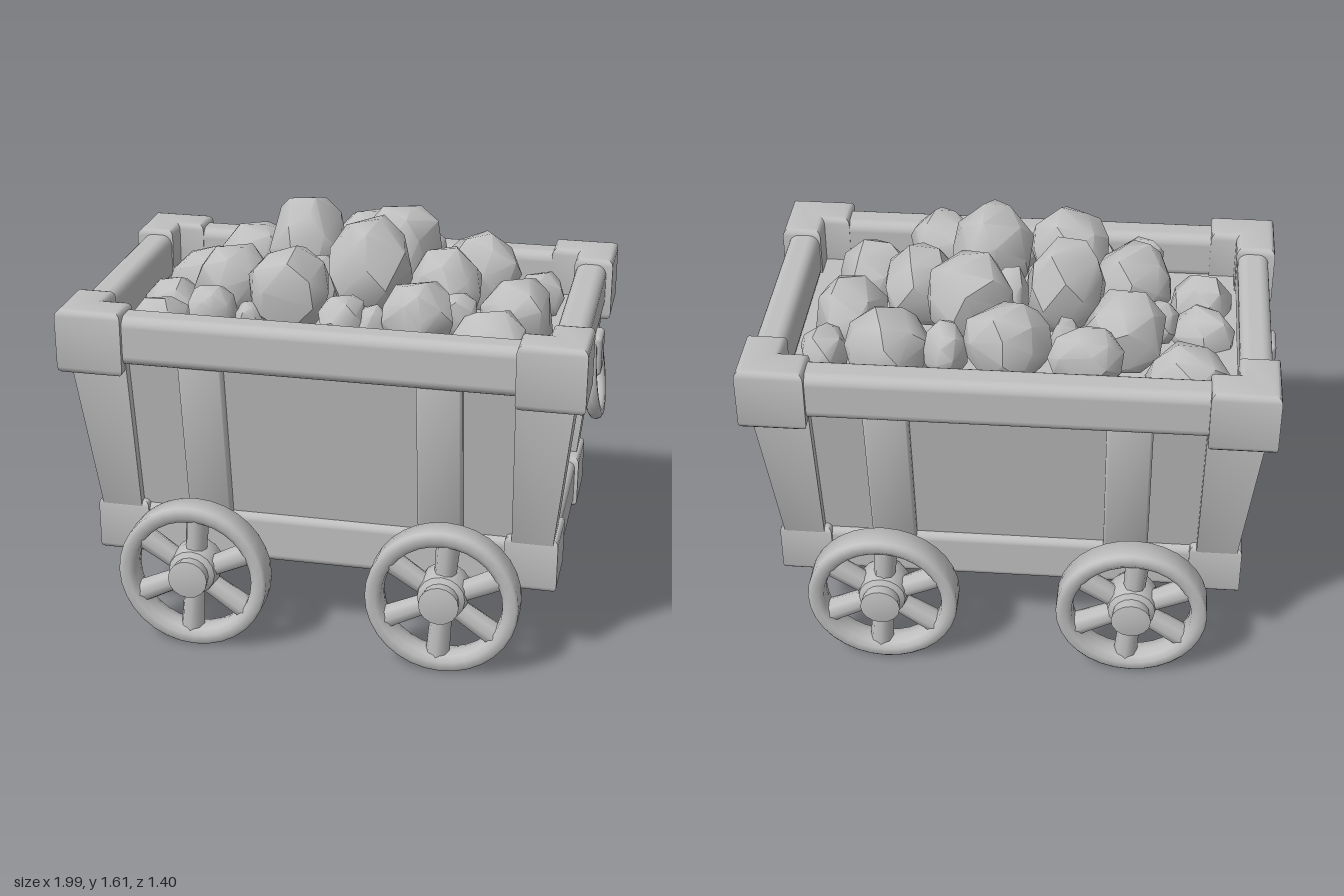
import * as THREE from 'three';
import { toCreasedNormals } from 'three/addons/utils/BufferGeometryUtils.js';
import { RoundedBoxGeometry } from 'three/addons/geometries/RoundedBoxGeometry.js';
import { ConvexGeometry } from 'three/addons/geometries/ConvexGeometry.js';

// small seeded generator
let seed = 7;
const rand = () => {
  seed = (seed * 16807) % 2147483647;
  return seed / 2147483647;
};

// lean the outer faces of a geometry outwards with height, leaving the middle upright
function flare(geo) {
  const p = geo.attributes.position;
  const lean = (v, start, slope, h) => v + Math.sign(v) * slope * h * THREE.MathUtils.clamp((Math.abs(v) - start) / 0.08, 0, 1);
  for (let i = 0; i < p.count; i++) {
    const h = p.getY(i) - 0.5;
    p.setX(i, lean(p.getX(i), 0.71, 0.105, h));
    p.setZ(i, lean(p.getZ(i), 0.31, 0.142, h));
  }
  return geo;
}

// L-shaped bracket around the corner (sx, sz), from y0 to y1
function cornerL(sx, sz, X, Z, armX, armZ, t, y0, y1, b) {
  const x = X - b, z = Z - b;
  const outline = [
    [x, z], [X - armX + b, z], [X - armX + b, Z - t + b],
    [X - t + b, Z - t + b], [X - t + b, Z - armZ + b], [x, Z - armZ + b],
  ];
  const shape = new THREE.Shape(outline.map(([u, v]) => new THREE.Vector2(u * sx, -v * sz)));
  const geo = new THREE.ExtrudeGeometry(shape, {
    depth: y1 - y0 - 2 * b, bevelEnabled: true, bevelSize: b, bevelThickness: b, bevelSegments: 3,
  });
  return geo.rotateX(-Math.PI / 2).translate(0, y0 + b, 0);
}

// rounded stone with a few hard edges
function rockGeometry() {
  const pts = [], n = 28;
  for (let i = 0; i < n; i++) {
    const y = 1 - (2 * i + 1) / n, a = i * 2.4 + rand() * 0.7, r = Math.sqrt(1 - y * y);
    pts.push(new THREE.Vector3(Math.cos(a) * r, y, Math.sin(a) * r).multiplyScalar(0.96 + rand() * 0.13));
  }
  return toCreasedNormals(new ConvexGeometry(pts), 0.75);
}

export function createModel() {
  const cart = new THREE.Group();
  cart.name = 'oreCart';
  const grey = new THREE.MeshStandardMaterial({ color: 0xbfbfbf });
  grey.name = 'plain grey';

  const add = (name, geo, parent = cart) => {
    const m = new THREE.Mesh(geo, grey);
    m.name = name;
    parent.add(m);
    return m;
  };
  const box = (x0, x1, y0, y1, z0, z1, r = 0) => {
    const s = [x1 - x0, y1 - y0, z1 - z0];
    const g = r ? new RoundedBoxGeometry(...s, 3, r) : new THREE.BoxGeometry(...s);
    return g.translate((x0 + x1) / 2, (y0 + y1) / 2, (z0 + z1) / 2);
  };

  // tub
  const tub = flare(box(-0.835, 0.835, 0.315, 1.14, -0.45, 0.45));
  tub.computeVertexNormals();
  add('tub', tub);

  for (const s of [-1, 1]) {
    // rails of the rim and the base
    add('rimLongRail', box(-0.88, 0.88, 1.12, 1.31, s * 0.535 - 0.065, s * 0.535 + 0.065, 0.04));
    add('rimEndRail', box(s * 0.89 - 0.06, s * 0.89 + 0.06, 1.12, 1.31, -0.53, 0.53, 0.04));
    add('baseLongRail', box(-0.82, 0.82, 0.305, 0.5, s * 0.42 - 0.055, s * 0.42 + 0.055, 0.03));
    add('baseEndRail', box(s * 0.82 - 0.055, s * 0.82 + 0.055, 0.305, 0.5, -0.43, 0.43, 0.03));

    // straps, corner posts and corner caps
    for (const sz of [-1, 1]) {
      const strap = flare(box(s * 0.445 - 0.085, s * 0.445 + 0.085, 0.45, 1.15, sz * 0.448 - 0.033, sz * 0.448 + 0.033, 0.016));
      add('strap', toCreasedNormals(strap, 0.6));
      const post = flare(cornerL(s, sz, 0.872, 0.488, 0.155, 0.16, 0.08, 0.48, 1.14, 0.018));
      add('cornerPost', toCreasedNormals(post, 0.6));
      add('rimCorner', toCreasedNormals(cornerL(s, sz, 0.975, 0.617, 0.25, 0.255, 0.15, 1.08, 1.33, 0.026), 0.6));
      add('baseCorner', toCreasedNormals(cornerL(s, sz, 0.89, 0.488, 0.2, 0.23, 0.13, 0.3, 0.515, 0.022), 0.6));
    }

    // hanging ring on each end
    const handle = new THREE.Group();
    handle.name = 'endHandle';
    cart.add(handle);
    add('handleBracket', box(s * 0.94 - 0.04, s * 0.94 + 0.04, 1.01, 1.17, -0.062, 0.062, 0.018), handle);
    const ring = add('handleRing', new THREE.TorusGeometry(0.145, 0.026, 10, 24).rotateY(Math.PI / 2), handle);
    ring.position.set(s * 0.953, 0.995, 0);
    ring.rotation.z = s * 0.13;
  }

  // wheels
  const rimProfile = [
    [0.28, -0.055], [0.29, -0.046], [0.29, 0.046], [0.28, 0.055], [0.25, 0.055],
    [0.23, 0.04], [0.225, 0], [0.23, -0.04], [0.25, -0.055], [0.28, -0.055],
  ].map(([r, y]) => new THREE.Vector2(r, y));
  const rim = toCreasedNormals(new THREE.LatheGeometry(rimProfile, 32).rotateX(Math.PI / 2), 0.9);
  const hubProfile = [
    [0, -0.1], [0.075, -0.098], [0.095, -0.065], [0.1, 0], [0.09, 0.05],
    [0.07, 0.062], [0.076, 0.108], [0.05, 0.113], [0, 0.115],
  ].map(([r, y]) => new THREE.Vector2(r, y));
  const hub = toCreasedNormals(new THREE.LatheGeometry(hubProfile, 16).rotateX(Math.PI / 2), 0.6);
  const spoke = new THREE.CylinderGeometry(0.046, 0.04, 0.19, 8, 1, true).translate(0, 0.145, 0);
  for (const sx of [-1, 1]) for (const sz of [-1, 1]) {
    const wheel = new THREE.Group();
    wheel.name = 'wheel';
    wheel.position.set(sx * 0.48, 0.29, sz * 0.585);
    if (sz < 0) wheel.rotation.y = Math.PI;
    cart.add(wheel);
    add('wheelRim', rim, wheel);
    add('wheelHub', hub, wheel).position.y = 0.02;
    for (let i = 0; i < 6; i++) add('spoke', spoke, wheel).rotation.z = i * Math.PI / 3 - 0.07;
  }

  // heap of rocks: x, z, half width, half depth, top height
  const rocks = [
    [-0.65, -0.285, 0.16, 0.14, 1.31], [-0.28, -0.385, 0.14, 0.1, 1.43], [-0.41, -0.19, 0.155, 0.145, 1.45],
    [-0.7, 0.02, 0.13, 0.11, 1.28], [-0.69, 0.24, 0.125, 0.115, 1.27], [-0.42, 0.13, 0.15, 0.15, 1.46],
    [-0.18, -0.08, 0.155, 0.145, 1.61], [0.02, -0.35, 0.165, 0.125, 1.48], [0.17, -0.16, 0.165, 0.145, 1.57],
    [0.11, 0.14, 0.16, 0.165, 1.61], [-0.18, 0.275, 0.16, 0.15, 1.53], [0.46, -0.315, 0.16, 0.15, 1.43],
    [0.71, -0.27, 0.09, 0.1, 1.3], [0.38, 0.04, 0.15, 0.15, 1.48], [0.65, -0.02, 0.145, 0.15, 1.36],
    [0.33, 0.35, 0.135, 0.13, 1.45], [0.6, 0.29, 0.15, 0.15, 1.34], [0.24, -0.36, 0.08, 0.1, 1.42],
    [-0.45, 0.34, 0.1, 0.08, 1.37], [-0.09, 0.08, 0.07, 0.07, 1.43], [-0.19, -0.27, 0.06, 0.06, 1.4],
    [-0.53, -0.04, 0.08, 0.08, 1.32], [0.45, 0.2, 0.08, 0.08, 1.36], [-0.3, 0.36, 0.06, 0.07, 1.33],
    [0.05, 0.36, 0.09, 0.09, 1.38], [0.03, -0.05, 0.08, 0.09, 1.46], [0.16, 0.36, 0.07, 0.07, 1.35],
  ];
  const heap = new THREE.Group();
  heap.name = 'rockHeap';
  cart.add(heap);
  for (const [x, z, rx, rz, top] of rocks) {
    const geo = rockGeometry();
    const h = Math.max((rx + rz) * 0.55, (top - 1.13) * 0.43);
    geo.scale(rx, h, rz);
    geo.computeBoundingBox();
    add('rock', geo, heap).position.set(x, top - geo.boundingBox.max.y, z);
  }

  return cart;
}
